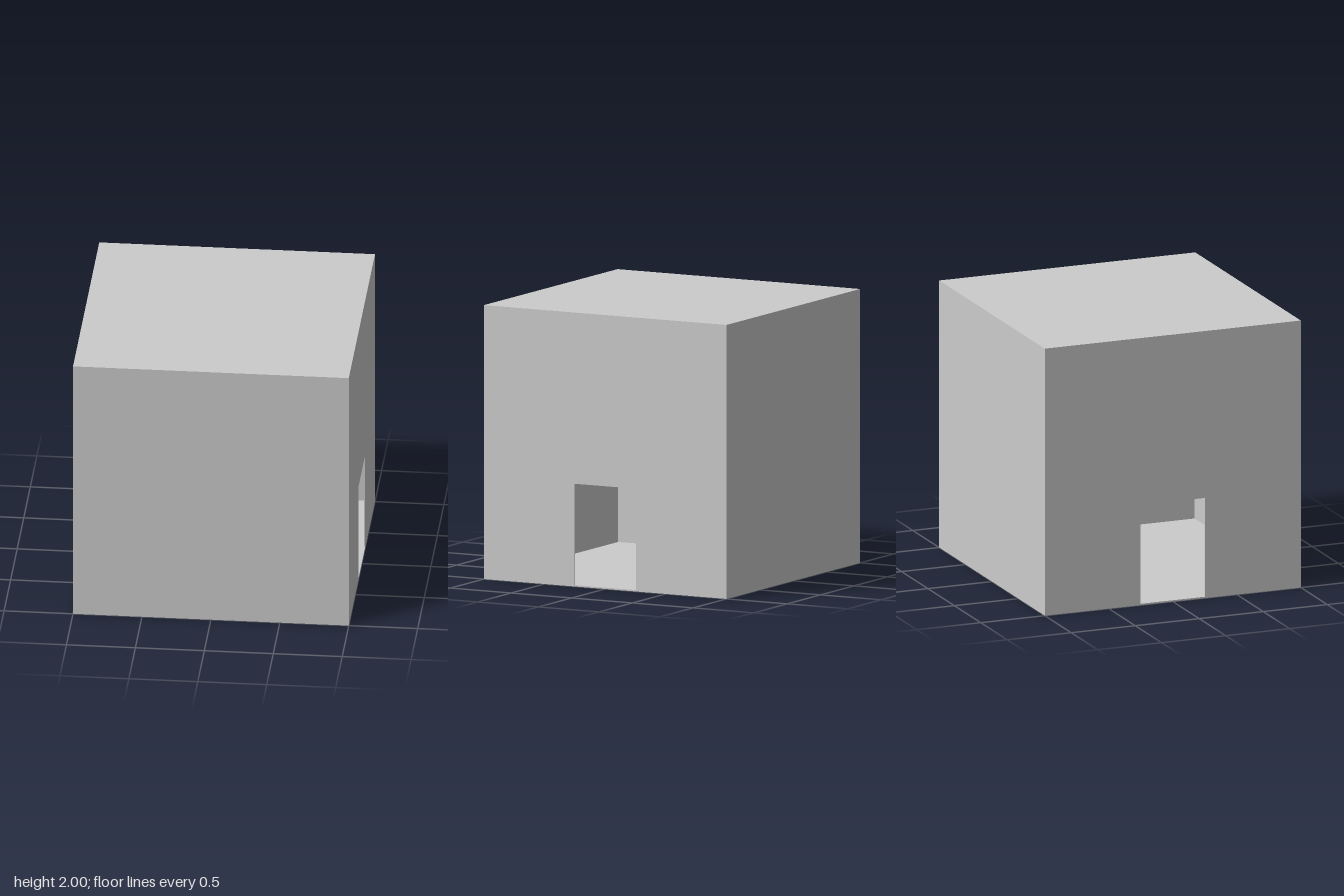
import * as THREE from 'three';

const T = 0.01;          // thickness of every panel
const DOOR_HALF = 0.253; // half the doorway's width
const DOOR_TOP = 0.75;

export function createModel() {
  const group = new THREE.Group();
  const material = new THREE.MeshStandardMaterial({ color: 0xcccccc, flatShading: true });

  const add = (name, geometry, x, y, z) => {
    const mesh = new THREE.Mesh(geometry, material);
    mesh.name = name;
    mesh.position.set(x, y, z);
    group.add(mesh);
    return mesh;
  };

  // Floor and roof slabs
  const slab = new THREE.BoxGeometry(2, T, 2);
  add('floor', slab, 0, T / 2, 0);
  add('roof', slab, 0, 2 - T / 2, 0);

  // Plain front and back walls, between the slabs
  const plain = new THREE.BoxGeometry(2, 2 - 2 * T, T);
  add('frontWall', plain, 0, 1, 1 - T / 2);
  add('backWall', plain, 0, 1, -1 + T / 2);

  // Side walls, each with a doorway open down to the floor
  const w = 1 - T;
  const outline = new THREE.Shape([
    [-w, T], [-DOOR_HALF, T], [-DOOR_HALF, DOOR_TOP], [DOOR_HALF, DOOR_TOP],
    [DOOR_HALF, T], [w, T], [w, 2 - T], [-w, 2 - T],
  ].map(([x, y]) => new THREE.Vector2(x, y)));
  const doorWall = new THREE.ExtrudeGeometry(outline, { depth: T, bevelEnabled: false });
  doorWall.rotateY(Math.PI / 2);
  add('leftDoorWall', doorWall, 1 - T, 0, 0);
  add('rightDoorWall', doorWall, -1, 0, 0);

  return group;
}
